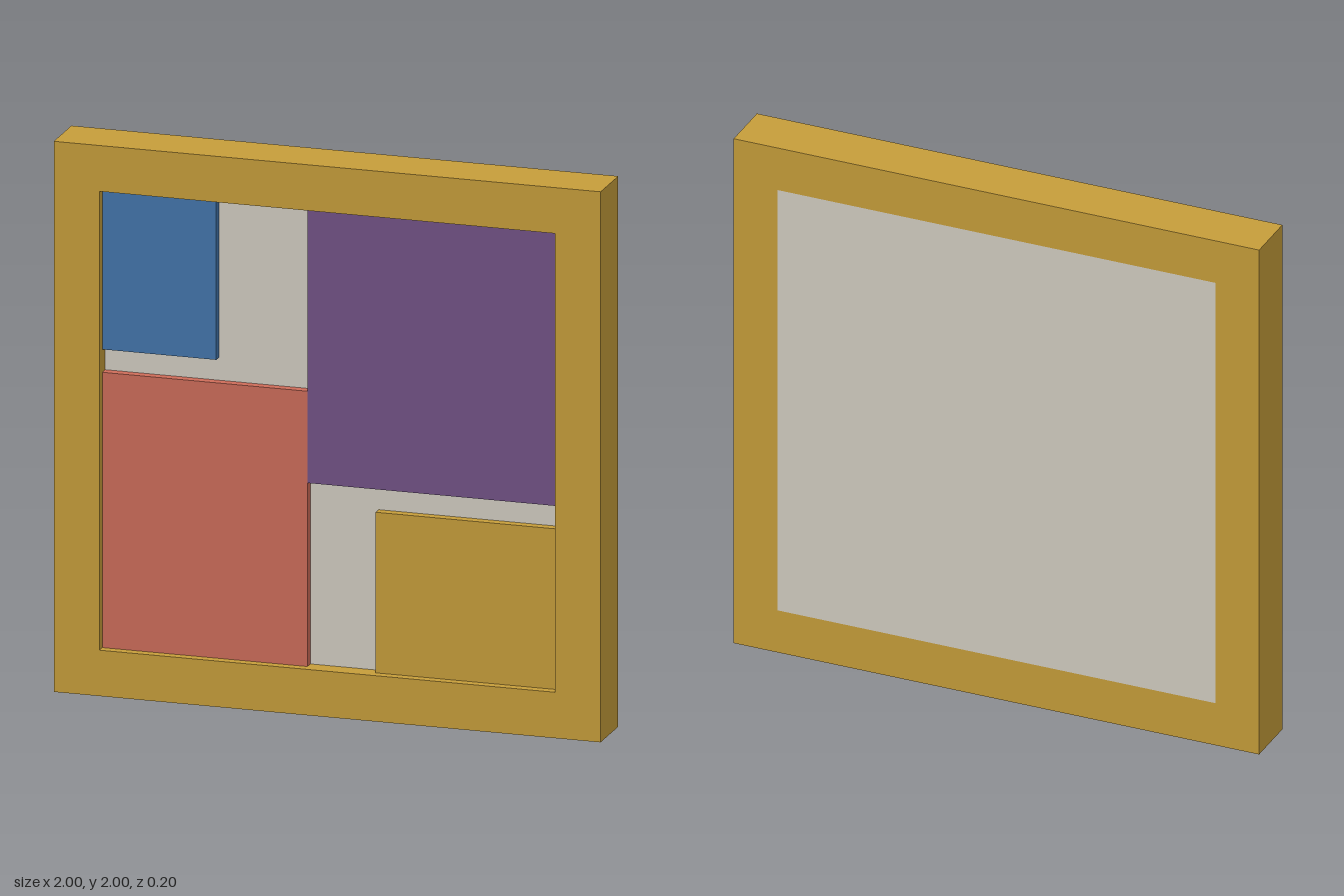
import * as THREE from 'three';

const flat = (name, color) => {
  const m = new THREE.MeshStandardMaterial({ color });
  m.name = name;
  return m;
};

export function createModel() {
  const group = new THREE.Group();
  group.name = 'framedRelief';

  const gold = flat('gold', 0xc69d3a);
  const cream = flat('cream', 0xd2cdc1);
  const blue = flat('blue', 0x4375ab);
  const red = flat('red', 0xcd6c59);
  const purple = flat('purple', 0x725286);

  const U = 1 / 12; // layout grid step
  const inner = 10 * U; // half width of the opening
  const back = -0.1, panelFront = 1 / 30, tileFront = 1 / 15;

  // Square frame with a square opening
  const outline = new THREE.Shape([[-1, 0], [1, 0], [1, 2], [-1, 2]].map(p => new THREE.Vector2(...p)));
  outline.holes.push(new THREE.Path(
    [[-inner, 1 - inner], [-inner, 1 + inner], [inner, 1 + inner], [inner, 1 - inner]].map(p => new THREE.Vector2(...p))
  ));
  const frameGeometry = new THREE.ExtrudeGeometry(outline, { depth: 0.2, bevelEnabled: false });
  const frame = new THREE.Mesh(frameGeometry.translate(0, 0, back), gold);
  frame.name = 'frame';
  group.add(frame);

  // Box given by its bounds
  const addSlab = (name, material, x0, x1, y0, y1, z0, z1) => {
    const mesh = new THREE.Mesh(new THREE.BoxGeometry(x1 - x0, y1 - y0, z1 - z0), material);
    mesh.position.set((x0 + x1) / 2, (y0 + y1) / 2, (z0 + z1) / 2);
    mesh.name = name;
    group.add(mesh);
  };

  // Backing panel, flush with the back of the frame
  addSlab('backPanel', cream, -inner, inner, 1 - inner, 1 + inner, back, panelFront);

  // Raised colour tiles: x and y bounds in grid steps
  const tiles = [
    ['blueTile', blue, -10, -5, 15, 22],
    ['redTile', red, -10, -1, 2, 14],
    ['purpleTile', purple, -1, 10, 10, 22],
    ['goldTile', gold, 2, 10, 2, 9],
  ];
  for (const [name, material, x0, x1, y0, y1] of tiles) {
    addSlab(name, material, x0 * U, x1 * U, y0 * U, y1 * U, panelFront, tileFront);
  }

  return group;
}
